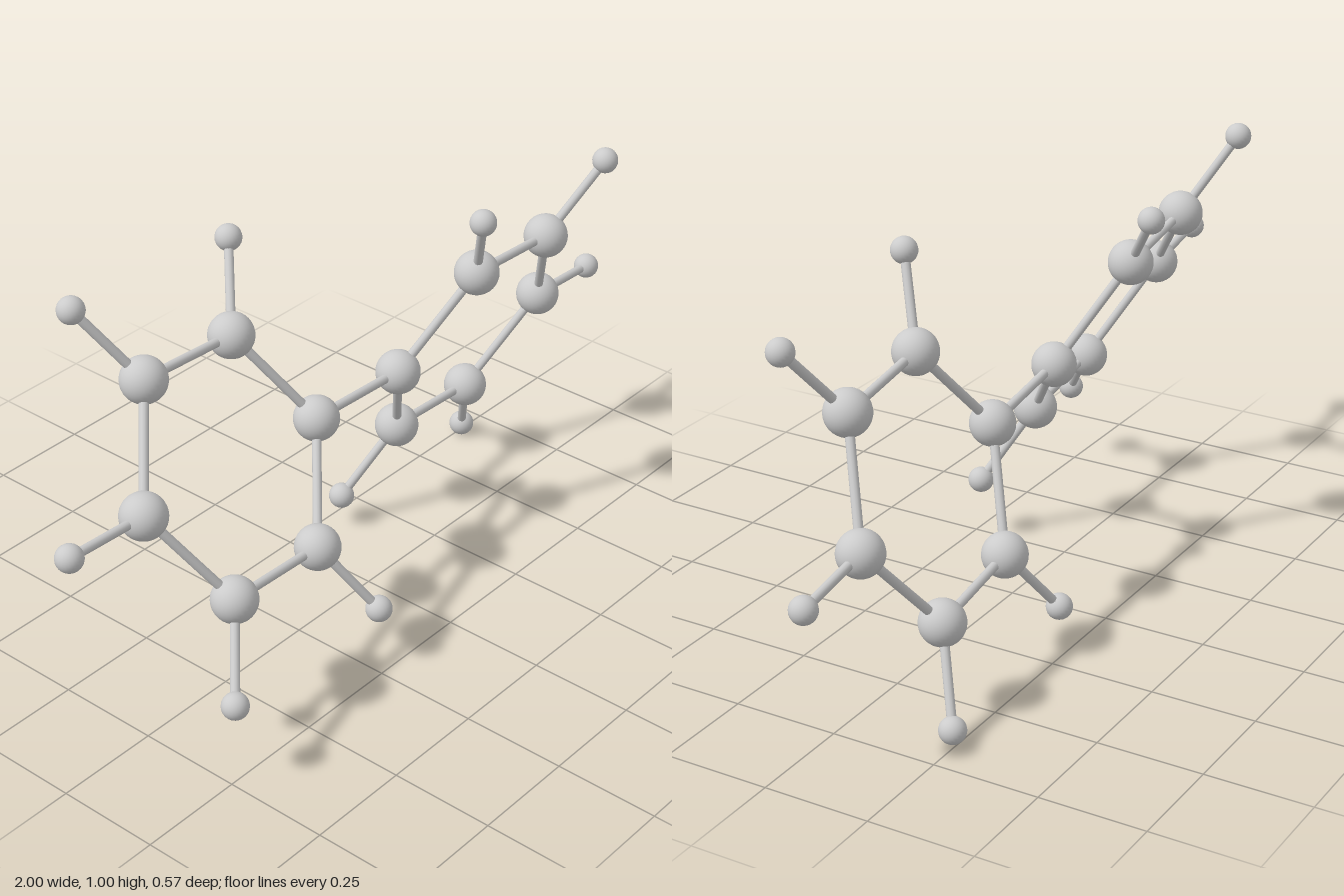
import * as THREE from 'three';

const material = new THREE.MeshStandardMaterial({ color: 0xcccccc });
const largeSphere = new THREE.SphereGeometry(0.053, 32, 20);
const smallSphere = new THREE.SphereGeometry(0.031, 24, 16);
const UP = new THREE.Vector3(0, 1, 0);

function addAtom(group, name, geometry, position) {
  const atom = new THREE.Mesh(geometry, material);
  atom.name = name;
  atom.position.copy(position);
  group.add(atom);
}

// Thin rod joining two atom centres
function addBond(group, name, a, b) {
  const dir = b.clone().sub(a);
  const bond = new THREE.Mesh(new THREE.CylinderGeometry(0.0108, 0.0108, dir.length(), 12), material);
  bond.name = name;
  bond.position.copy(a).add(b).multiplyScalar(0.5);
  bond.quaternion.setFromUnitVectors(UP, dir.normalize());
  group.add(bond);
}

// Ring-plane coordinates [along, across] of each carbon, and of its hydrogen
const carbons = [[1, 0], [0.487, 1], [-0.5, 1], [-1, 0], [-0.5, -1], [0.487, -1]];
const hydrogens = [null, [0.85, 1.775], [-0.89, 1.775], [-1.77, 0], [-0.89, -1.775], [0.85, -1.775]];

// Six-sided ring; "along" points to the linking carbon, "across" to the upper edge
function makeRing(name, centre, along, across) {
  const ring = new THREE.Group();
  ring.name = name;
  const place = ([a, b]) => centre.clone().addScaledVector(along, a).addScaledVector(across, b);
  const points = carbons.map(place);
  points.forEach((p, i) => {
    addAtom(ring, 'carbonAtom', largeSphere, p);
    addBond(ring, 'ringBond', p, points[(i + 1) % 6]);
    if (!hydrogens[i]) return;
    const h = place(hydrogens[i]);
    addAtom(ring, 'hydrogenAtom', smallSphere, h);
    addBond(ring, 'hydrogenBond', p, h);
  });
  return { ring, link: points[0] };
}

export function createModel() {
  const model = new THREE.Group();
  model.name = 'moleculeModel';
  const v = (x, y, z) => new THREE.Vector3(x, y, z);

  // Two rings twisted against each other
  const right = makeRing('rightRing', v(-0.451, 0.567, 0), v(0.294, -0.031, -0.02), v(0.013, 0.215, -0.1335));
  const left = makeRing('leftRing', v(0.445, 0.4765, -0.0555), v(-0.295, 0.0305, 0.0185), v(0.0295, 0.2328, 0.0938));
  model.add(right.ring, left.ring);

  // Bond between the rings
  addBond(model, 'linkBond', right.link, left.link);
  return model;
}
